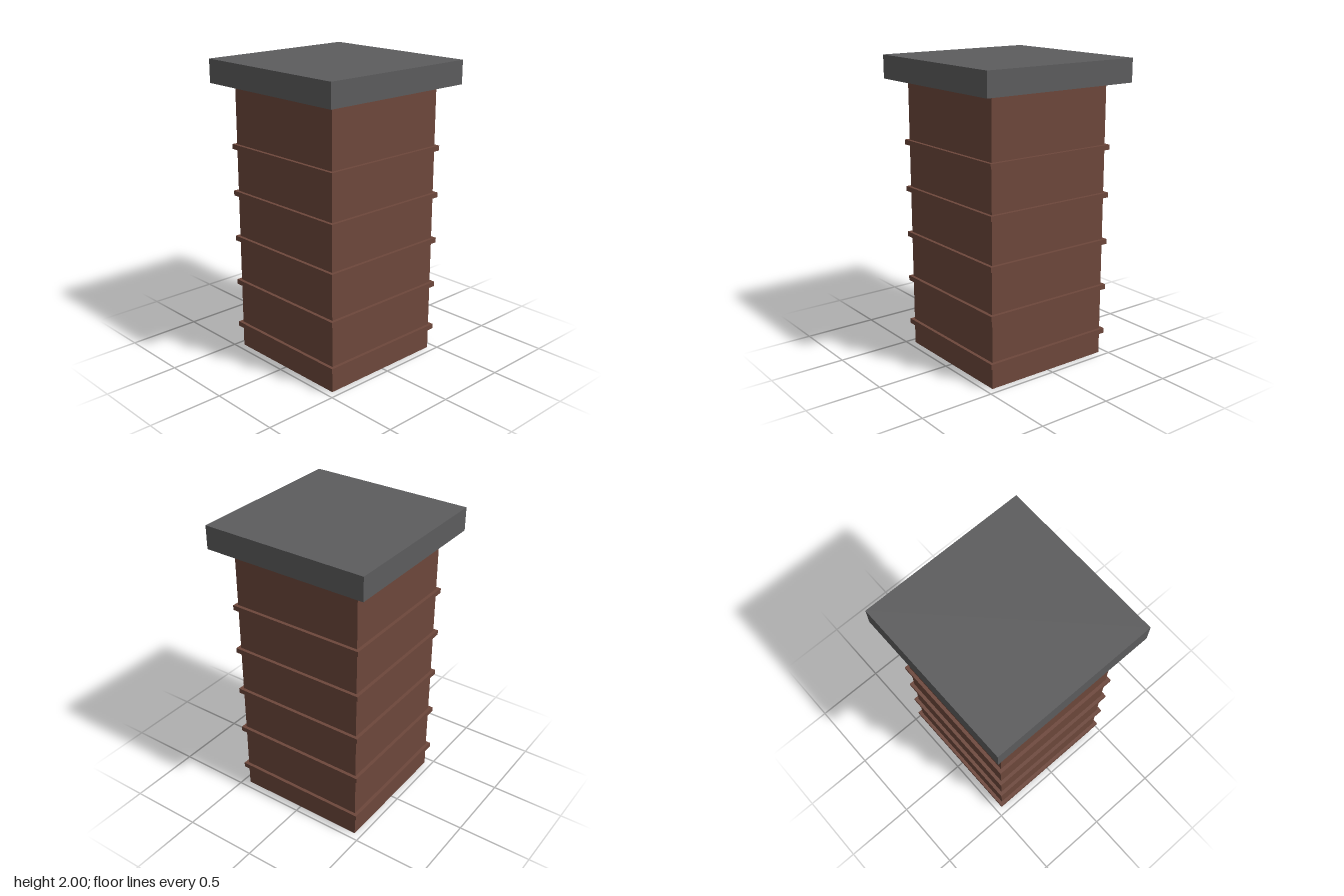
import * as THREE from 'three';

export function createModel() {
  const model = new THREE.Group();
  model.name = 'chimney';

  const brick = new THREE.MeshStandardMaterial({ color: 0x6d473b });
  brick.name = 'brick brown';
  const stone = new THREE.MeshStandardMaterial({ color: 0x5c5c5d });
  stone.name = 'stone grey';

  // Square slab resting on height y
  const slab = (name, width, height, y, material) => {
    const mesh = new THREE.Mesh(new THREE.BoxGeometry(width, height, width), material);
    mesh.name = name;
    mesh.position.y = y + height / 2;
    model.add(mesh);
  };

  // Shaft and overhanging cap
  slab('shaft', 0.904, 1.845, 0, brick);
  slab('cap', 1.13, 0.155, 1.845, stone);

  // Raised brick courses at even spacing
  for (let i = 0; i < 5; i++) {
    slab(`brickCourse${i + 1}`, 0.949, 0.033, 0.145 + i * 0.317, brick);
  }

  return model;
}
